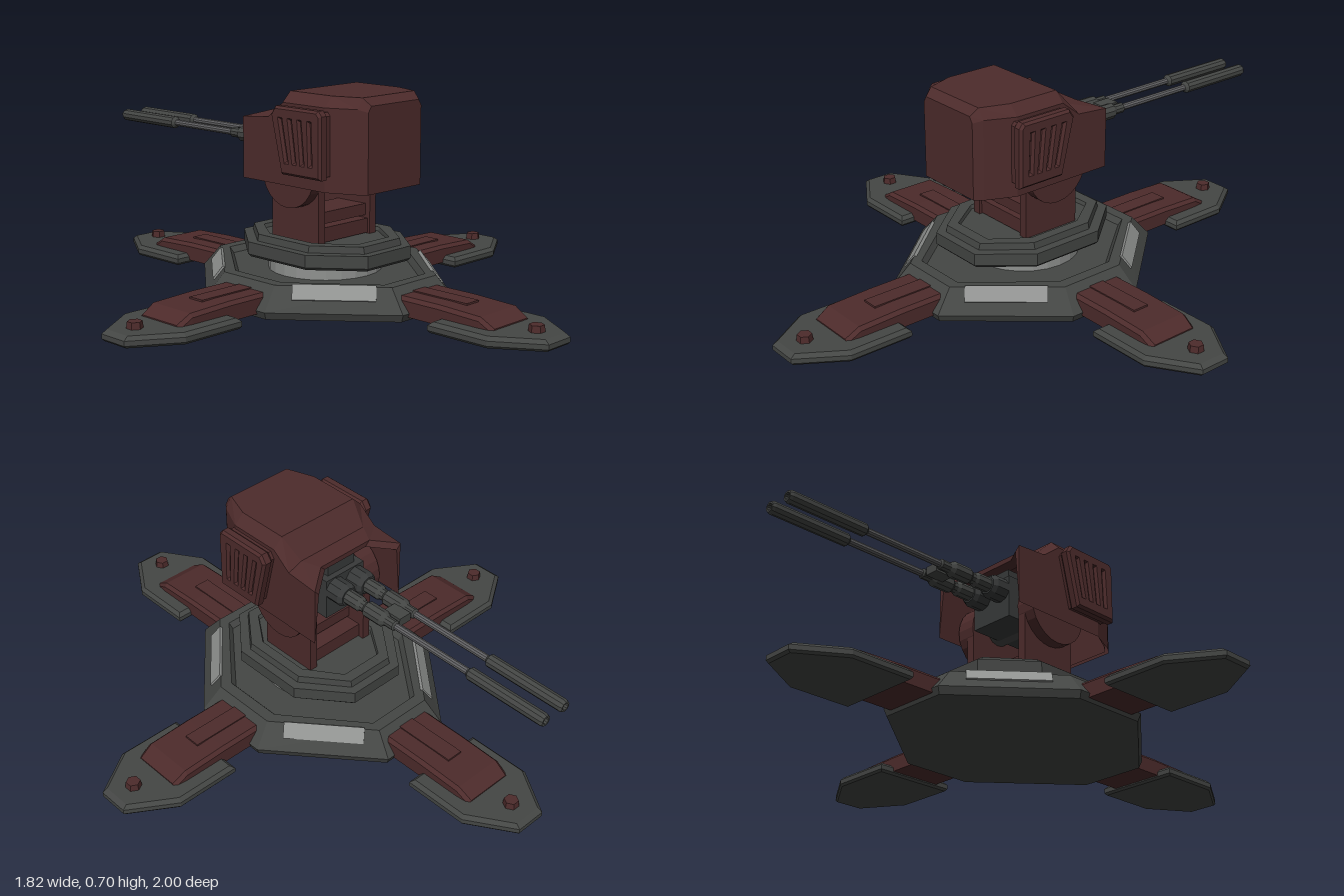
import * as THREE from 'three';

const mat = (color, side = THREE.FrontSide) =>
  new THREE.MeshStandardMaterial({ color, flatShading: true, side });
const red = mat(0x4d2b2b), redShell = mat(0x4d2b2b, THREE.DoubleSide);
const dark = mat(0x444644), darker = mat(0x383a3a, THREE.DoubleSide);
const steel = mat(0x606062, THREE.DoubleSide), pale = mat(0x909290);

function add(parent, name, geometry, material, x = 0, y = 0, z = 0) {
  const mesh = new THREE.Mesh(geometry, material);
  mesh.name = name;
  mesh.position.set(x, y, z);
  parent.add(mesh);
  return mesh;
}
function group(parent, name, x = 0, y = 0, z = 0) {
  const g = new THREE.Group();
  g.name = name;
  g.position.set(x, y, z);
  parent.add(g);
  return g;
}
const box = (w, h, d) => new THREE.BoxGeometry(w, h, d);

// Skin between successive rings of [x, y, z] points, with both ends capped
function loft(rings, closed = true) {
  const p = [], n = rings[0].length;
  for (let i = 0; i + 1 < rings.length; i++) {
    for (let j = 0; j < (closed ? n : n - 1); j++) {
      const k = (j + 1) % n;
      const a = rings[i][j], b = rings[i][k], c = rings[i + 1][k], d = rings[i + 1][j];
      p.push(...a, ...b, ...c, ...a, ...c, ...d);
    }
  }
  const first = rings[0], last = rings[rings.length - 1];
  for (let j = 1; j + 1 < n; j++) {
    p.push(...first[0], ...first[j + 1], ...first[j]);
    p.push(...last[0], ...last[j], ...last[j + 1]);
  }
  const g = new THREE.BufferGeometry();
  g.setAttribute('position', new THREE.Float32BufferAttribute(p, 3));
  g.computeVertexNormals();
  return g;
}

// Stretched octagon: half sizes hx, hz and half lengths cx, cz of its straight sides
const oct = (y, hx, hz, cx, cz) => [
  [hx, y, cz], [hx, y, -cz], [cx, y, -hz], [-cx, y, -hz],
  [-hx, y, -cz], [-hx, y, cz], [-cx, y, hz], [cx, y, hz]];

function buildBase(root) {
  const base = group(root, 'base', 0, 0, 0.018);
  add(base, 'basePlatform', loft([
    oct(0, 0.405, 0.465, 0.125, 0.135), oct(0.025, 0.415, 0.475, 0.13, 0.14),
    oct(0.1, 0.35, 0.41, 0.11, 0.12), oct(0.1, 0.31, 0.37, 0.1, 0.11),
    oct(0.08, 0.295, 0.355, 0.095, 0.105)]), dark);
  // Pale strips set in the diagonal slopes
  for (const sx of [-1, 1]) for (const sz of [-1, 1]) {
    const strip = add(base, 'slopeStrip', box(0.27, 0.055, 0.016), pale, sx * 0.237, 0.08, sz * 0.276);
    strip.rotation.set(-0.67, Math.atan2(sx * 0.335, sz * 0.285), 0, 'YXZ');
  }
  // Four legs, the front and back ones set further out
  for (let i = 0; i < 4; i++) {
    const spoke = group(base, 'leg');
    spoke.rotation.y = i * Math.PI / 2;
    buildLeg(group(spoke, 'legParts', i % 2 ? 0.07 : 0));
  }
}

function buildLeg(leg) {
  const outline = (y, s) => [[0.91, 0.055], [0.91, -0.055], [0.755, -0.155],
    [0.525, -0.155], [0.525, 0.155], [0.755, 0.155]]
    .map(([x, z]) => [0.7 + (x - 0.7) * s, y, z * s]);
  add(leg, 'foot', loft([outline(0, 0.96), outline(0.008, 1), outline(0.024, 1), outline(0.036, 0.92)]), dark);
  const armSection = (x, top, w) => [[x, 0.012, -w], [x, top - 0.012, -w], [x, top, -w + 0.012],
    [x, top, w - 0.012], [x, top - 0.012, w], [x, 0.012, w]];
  add(leg, 'arm', loft([armSection(0.27, 0.075, 0.1), armSection(0.52, 0.075, 0.1),
    armSection(0.68, 0.069, 0.1), armSection(0.73, 0.04, 0.095)]), red);
  add(leg, 'armPanel', box(0.28, 0.012, 0.06), red, 0.44, 0.073, 0);
  add(leg, 'bolt', new THREE.CylinderGeometry(0.024, 0.028, 0.03, 6), red, 0.825, 0.043, 0);
}

function buildMount(root) {
  const mount = group(root, 'mount', 0, 0, 0.025);
  add(mount, 'bearing', new THREE.CylinderGeometry(0.195, 0.195, 0.06, 24), pale, 0, 0.105, 0);
  add(mount, 'turntable', loft([oct(0.13, 0.225, 0.285, 0.1, 0.13), oct(0.14, 0.235, 0.295, 0.105, 0.135),
    oct(0.182, 0.235, 0.295, 0.105, 0.135), oct(0.182, 0.205, 0.265, 0.09, 0.12),
    oct(0.205, 0.2, 0.26, 0.09, 0.12), oct(0.205, 0.165, 0.22, 0.08, 0.1),
    oct(0.192, 0.16, 0.215, 0.08, 0.1)]), dark);
  // Yoke cheeks with round pivot hubs
  for (const s of [-1, 1]) {
    add(mount, 'yokeCheek', box(0.03, 0.26, 0.22), red, s * 0.125, 0.315, -0.005);
    const hub = add(mount, 'pivotHub', new THREE.CylinderGeometry(0.12, 0.12, 0.07, 24), red, s * 0.145, 0.43, 0);
    hub.rotation.z = Math.PI / 2;
  }
  add(mount, 'lowerCrossbar', box(0.24, 0.05, 0.19), red, 0, 0.22, 0);
  add(mount, 'upperCrossbar', box(0.24, 0.04, 0.13), red, 0, 0.275, 0.02);
}

function buildHood(root) {
  const hood = group(root, 'hood');
  // Arch: half width, shoulder, top half width, top, and z of side and top
  const arch = (w, ys, wt, yt, z, zt, t) => {
    const half = [[w, 0.39, z], [w - t, ys - t, z], [wt - t, yt - t, zt]];
    return [...half, ...half.map(([x, y, q]) => [-x, y, q]).reverse()];
  };
  const sections = [
    [0.195, 0.6, 0.11, 0.622, -0.172, -0.11], [0.195, 0.61, 0.14, 0.63, -0.05, -0.05],
    [0.195, 0.665, 0.16, 0.7, 0.02, 0.02], [0.195, 0.665, 0.16, 0.7, 0.21, 0.21],
    [0.15, 0.665, 0.125, 0.7, 0.31, 0.31], [0.128, 0.655, 0.115, 0.675, 0.338, 0.338]];
  const outer = sections.map(s => arch(...s, 0));
  const inner = sections.map(([a, b, c, d, z, zt]) => arch(a, b, c, d, z > 0.3 ? z - 0.018 : z, zt > 0.3 ? zt - 0.018 : zt, 0.018));
  add(hood, 'hoodShell', loft([...inner.reverse(), ...outer], false), redShell);

  // Slatted side pods, drawn as (-z, y) and extruded outward
  const pod = new THREE.Shape([[-0.23, 0.445], [-0.065, 0.445], [-0.02, 0.63], [-0.035, 0.652], [-0.22, 0.652], [-0.23, 0.64]]
    .map(q => new THREE.Vector2(...q)));
  const core = new THREE.ExtrudeGeometry(pod, { depth: 0.026, bevelEnabled: false });
  const face = pod.clone();
  for (let i = 0; i < 4; i++) {
    const x = -0.205 + i * 0.036, lean = 0.006 + i * 0.008;
    face.holes.push(new THREE.Path([[x, 0.475], [x + lean, 0.625], [x + lean + 0.02, 0.625], [x + 0.02, 0.475]]
      .map(q => new THREE.Vector2(...q))));
  }
  const grille = new THREE.ExtrudeGeometry(face,
    { depth: 0.022, bevelThickness: 0.009, bevelSize: 0.008, bevelSegments: 1 });
  for (const s of [-1, 1]) {
    const side = group(hood, 'sidePod');
    side.scale.x = s;
    add(side, 'podCore', core, red, 0.19).rotation.y = Math.PI / 2;
    add(side, 'podGrille', grille, red, 0.215).rotation.y = Math.PI / 2;
  }
}

function buildGun(root) {
  const gun = group(root, 'gun', 0, 0.505, 0);
  add(gun, 'receiver', box(0.17, 0.15, 0.26), darker, 0, -0.03, 0.02);
  add(gun, 'receiverTop', box(0.12, 0.05, 0.2), darker, 0, 0.06, 0.01);
  const axle = add(gun, 'axle', new THREE.CylinderGeometry(0.05, 0.05, 0.26, 12), dark, 0, -0.06, 0.025);
  axle.rotation.z = Math.PI / 2;
  add(gun, 'barrelBrace', box(0.05, 0.03, 0.07), dark, 0, 0, -0.35);
  // Turned barrel profiles: radius, distance forward
  const turn = pts => new THREE.LatheGeometry(pts.map(q => new THREE.Vector2(...q)), 10);
  const parts = [
    ['barrelCollar', darker, [[0, 0.08], [0.042, 0.08], [0.042, 0.16], [0.032, 0.175], [0, 0.175]]],
    ['barrelSleeve', dark, [[0.026, 0.17], [0.026, 0.23], [0.02, 0.24], [0.02, 0.255], [0.028, 0.265],
      [0.028, 0.335], [0.018, 0.35], [0.018, 0.385], [0.012, 0.39]]],
    ['barrelTube', steel, [[0.012, 0.37], [0.012, 0.71]]],
    ['muzzleSleeve', dark, [[0.012, 0.695], [0.022, 0.705], [0.022, 0.99], [0.018, 1], [0.012, 1], [0.012, 0.95], [0, 0.95]]]];
  for (const s of [-1, 1]) {
    const barrel = group(gun, 'barrel', s * 0.045);
    barrel.rotation.x = -Math.PI / 2;
    for (const [name, material, pts] of parts) add(barrel, name, turn(pts), material);
  }
}

export function createModel() {
  const root = new THREE.Group();
  root.name = 'gunTurret';
  buildBase(root);
  buildMount(root);
  buildHood(root);
  buildGun(root);
  return root;
}
